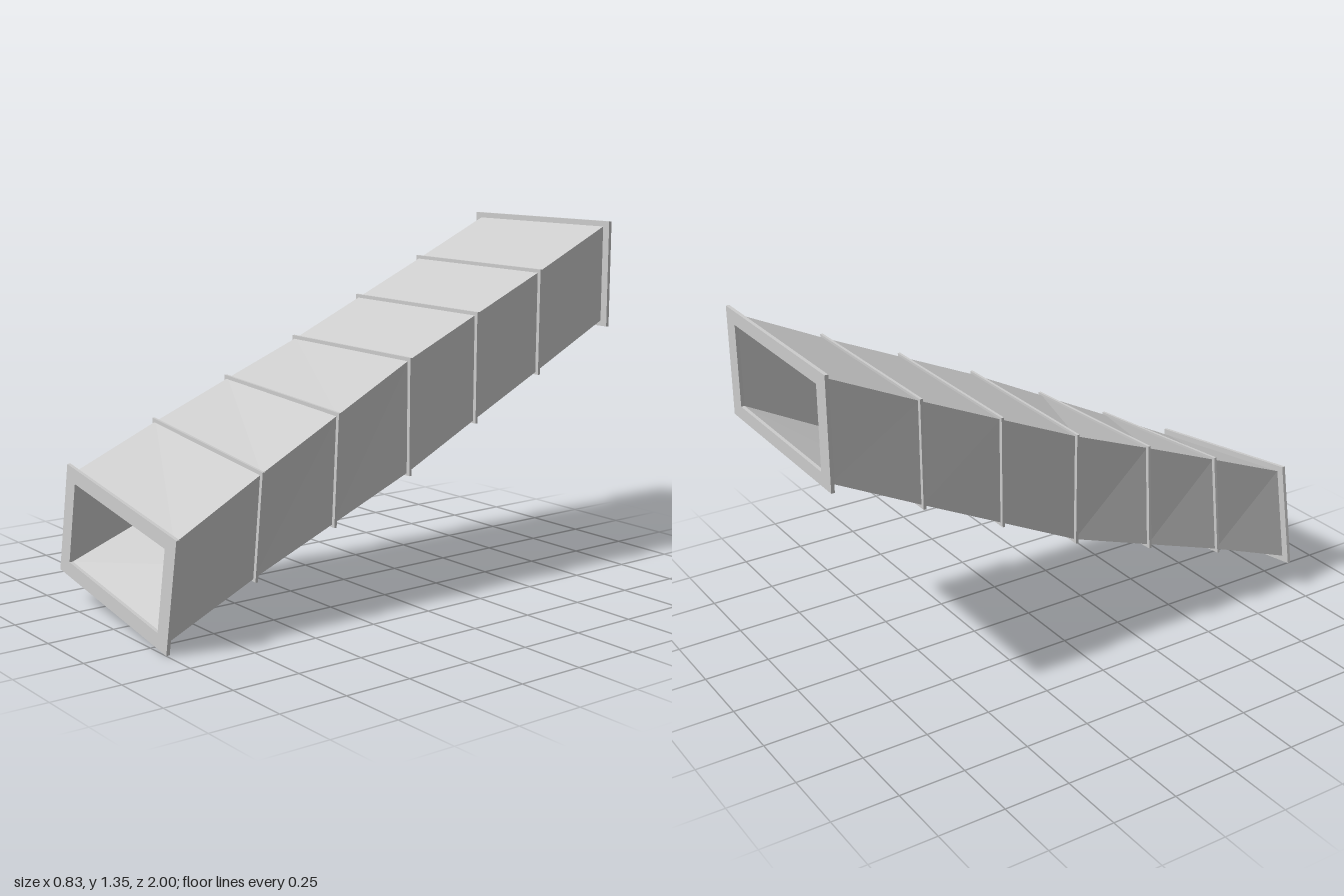
import * as THREE from 'three';

const WALL_X = 0.035, WALL_Y = 0.03;

// Stations along the duct, front to back: centre, duct size, roll, forward tilt
const stations = [
  { x: 0.0, y: 0.264, z: 0.975, w: 0.71, h: 0.36, roll: -8.8, tilt: -0.025 },
  { x: -0.001, y: 0.42, z: 0.627, w: 0.71, h: 0.37, roll: -5.8, tilt: -0.02 },
  { x: 0.003, y: 0.556, z: 0.303, w: 0.707, h: 0.39, roll: -3.1, tilt: -0.01 },
  { x: 0.009, y: 0.691, z: -0.02, w: 0.705, h: 0.408, roll: -0.2, tilt: 0 },
  { x: 0.009, y: 0.839, z: -0.335, w: 0.707, h: 0.392, roll: -0.2, tilt: 0 },
  { x: 0.011, y: 0.985, z: -0.647, w: 0.708, h: 0.378, roll: -0.3, tilt: 0 },
  { x: 0.0165, y: 1.147, z: -0.981, w: 0.71, h: 0.365, roll: 0, tilt: 0 },
];

// Four corners of a rolled rectangle, counter-clockwise seen from the front
function corners(s, w, h) {
  const c = Math.cos(s.roll * Math.PI / 180), n = Math.sin(s.roll * Math.PI / 180);
  return [[1, -1], [1, 1], [-1, 1], [-1, -1]].map(([i, j]) => {
    const lx = i * w / 2, ly = j * h / 2;
    const dx = lx * c - ly * n, dy = lx * n + ly * c;
    return [s.x + dx, s.y + dy, s.z + 0.014 * dx + s.tilt * dy];
  });
}

// Hollow rectangular tube through a list of sections (w, h outside; iw, ih inside)
function hollowTube(name, sections, material) {
  const pos = [];
  const quad = (a, b, c, d) => pos.push(...a, ...b, ...c, ...a, ...c, ...d);
  const outer = sections.map(s => corners(s, s.w, s.h));
  const inner = sections.map(s => corners(s, s.iw, s.ih));
  const last = sections.length - 1;
  for (let i = 0; i < 4; i++) {
    const j = (i + 1) % 4;
    for (let k = 0; k < last; k++) {
      quad(outer[k][i], outer[k + 1][i], outer[k + 1][j], outer[k][j]);
      quad(inner[k][i], inner[k][j], inner[k + 1][j], inner[k + 1][i]);
    }
    quad(outer[0][i], outer[0][j], inner[0][j], inner[0][i]);
    quad(outer[last][j], outer[last][i], inner[last][i], inner[last][j]);
  }
  const geometry = new THREE.BufferGeometry();
  geometry.setAttribute('position', new THREE.Float32BufferAttribute(pos, 3));
  geometry.computeVertexNormals();
  const mesh = new THREE.Mesh(geometry, material);
  mesh.name = name;
  return mesh;
}

export function createModel() {
  const group = new THREE.Group();
  group.name = 'twistedDuct';
  const material = new THREE.MeshStandardMaterial({ color: 0xcccccc, flatShading: true });
  const bore = s => ({ iw: s.w - 2 * WALL_X, ih: s.h - 2 * WALL_Y });

  // Twisting duct walls
  group.add(hollowTube('ductWalls', stations.map(s => ({ ...s, ...bore(s) })), material));

  // Thin seam ribs around each joint
  stations.slice(1, -1).forEach((s, i) => {
    const rib = { ...s, w: s.w + 0.03, h: s.h + 0.022, iw: s.w - 0.02, ih: s.h - 0.02 };
    group.add(hollowTube(`seamRib${i + 1}`,
      [{ ...rib, z: s.z + 0.005 }, { ...rib, z: s.z - 0.005 }], material));
  });

  // Wide end flanges
  const addFlange = (name, s, zFront, zBack) => {
    const f = { ...s, ...bore(s), w: 0.773, h: 0.407 };
    group.add(hollowTube(name, [{ ...f, z: zFront }, { ...f, z: zBack }], material));
  };
  addFlange('frontFlange', stations[0], 0.988, 0.975);
  addFlange('backFlange', stations[6], -0.981, -0.994);

  return group;
}
